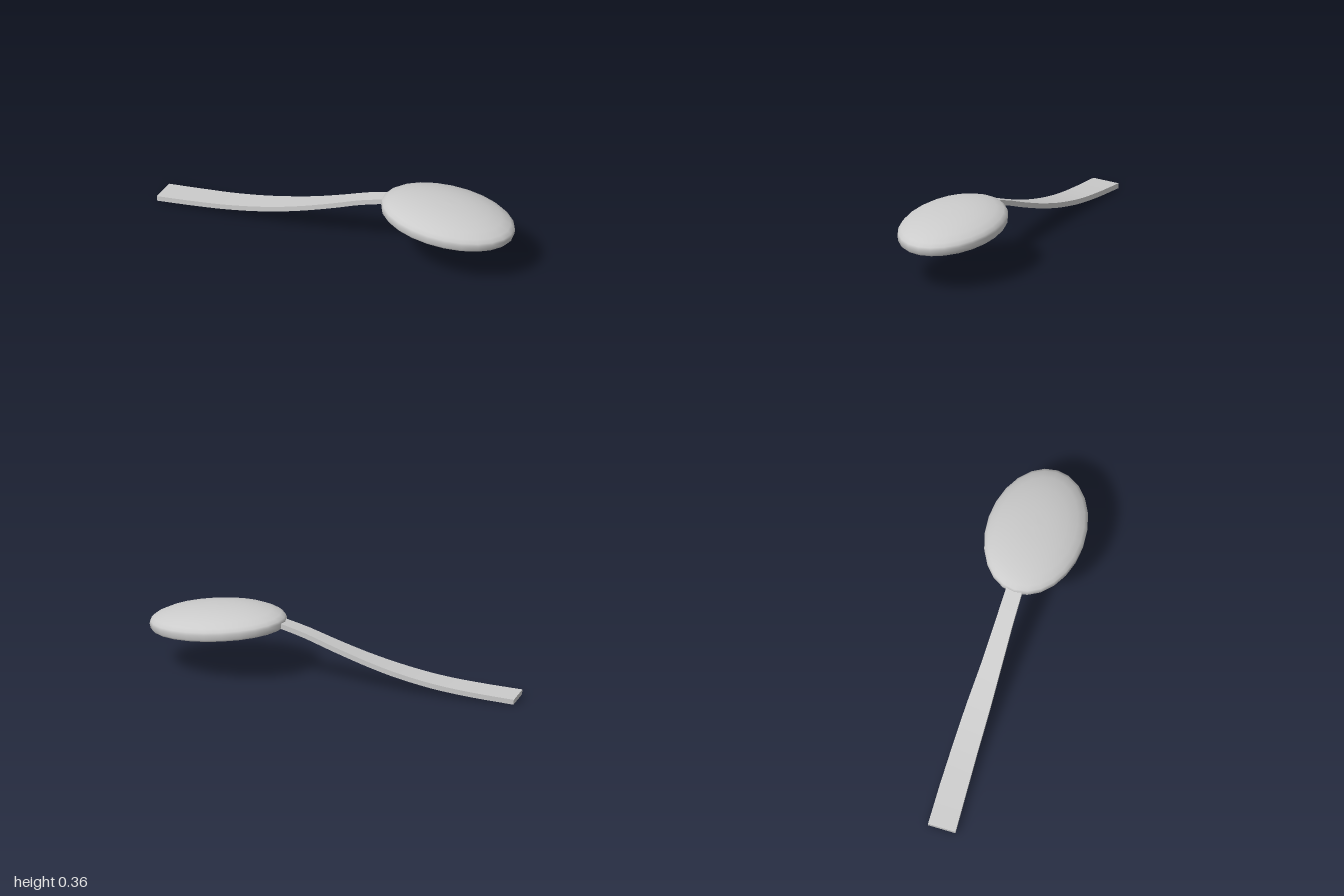
import * as THREE from 'three';

const material = new THREE.MeshStandardMaterial({ color: 0xcccccc });

// Surface of revolution stretched to the oval outline of the bowl
function ovalSurface(name, profile) {
  const points = profile.map(([r, h]) => new THREE.Vector2(r, h));
  const geometry = new THREE.LatheGeometry(points, 24);
  geometry.rotateY(Math.PI / 2);
  geometry.scale(0.367, 1, 0.259);
  const mesh = new THREE.Mesh(geometry, material);
  mesh.name = name;
  return mesh;
}

// Overturned bowl: domed back, shallow hollow inside and a narrow rim joining them
function createBowl() {
  const bowl = new THREE.Group();
  bowl.name = 'bowl';
  bowl.add(
    ovalSurface('bowlBack', [
      [0.965, 0], [0.992, 0.01], [1, 0.036], [0.985, 0.05], [0.93, 0.066],
      [0.8, 0.086], [0.6, 0.102], [0.4, 0.112], [0.2, 0.117], [0, 0.118],
    ]),
    ovalSurface('bowlHollow', [
      [0, 0.024], [0.3, 0.024], [0.6, 0.021], [0.8, 0.014], [0.93, 0],
    ]),
    ovalSurface('bowlRim', [[0.93, 0], [0.965, 0]]),
  );
  bowl.position.set(0.629, 0.236, 0);
  bowl.rotation.z = -0.096;
  return bowl;
}

// Flat bar bent along an S-curve, widening towards its free end
function createHandle() {
  const path = new THREE.CatmullRomCurve3([
    [-0.995, 0.016], [-0.8, 0.031], [-0.6, 0.052], [-0.4, 0.087], [-0.2, 0.137],
    [0, 0.201], [0.15, 0.254], [0.31, 0.299],
  ].map(([x, y]) => new THREE.Vector3(x, y, 0)));
  // Back and front edges (z) at even steps from the free end to the bowl
  const backEdge = [-0.06, -0.067, -0.069, -0.066, -0.056, -0.05, -0.047];
  const frontEdge = [0.09, 0.078, 0.067, 0.06, 0.051, 0.043, 0.039];
  const sample = (list, t) => {
    const i = Math.min(Math.floor(t * (list.length - 1)), list.length - 2);
    return THREE.MathUtils.lerp(list[i], list[i + 1], t * (list.length - 1) - i);
  };

  const thickness = 0.027;
  const geometry = new THREE.BoxGeometry(1, 1, 1, 24, 1, 1);
  const position = geometry.attributes.position;
  for (let i = 0; i < position.count; i++) {
    const t = THREE.MathUtils.clamp(position.getX(i) + 0.5, 0, 1);
    const centre = path.getPointAt(t);
    const tangent = path.getTangentAt(t);
    const offset = position.getY(i) * thickness;
    const z = sample(position.getZ(i) < 0 ? backEdge : frontEdge, t);
    const twist = 0.035 * z * (1 - t);
    position.setXYZ(i, centre.x - tangent.y * offset, centre.y + tangent.x * offset + twist, z);
  }
  geometry.computeVertexNormals();
  const handle = new THREE.Mesh(geometry, material);
  handle.name = 'handle';
  return handle;
}

export function createModel() {
  const spoon = new THREE.Group();
  spoon.name = 'spoon';
  spoon.add(createBowl(), createHandle());
  return spoon;
}
